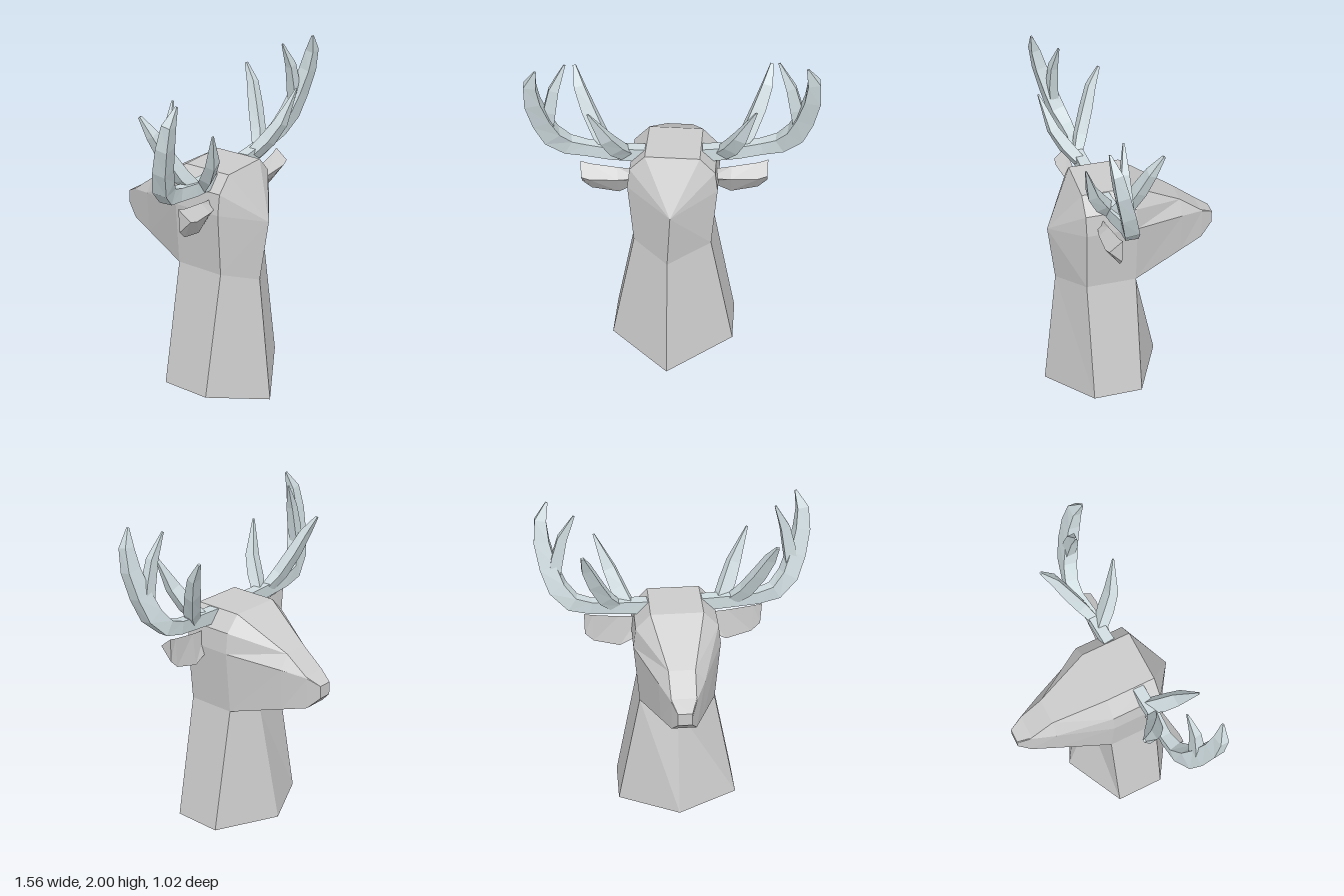
import * as THREE from 'three';

const hide = new THREE.MeshStandardMaterial({ color: 0xcccccc, flatShading: true });
const horn = new THREE.MeshStandardMaterial({ color: 0xcfdce0, flatShading: true });

const centre = (ring) => [0, 1, 2].map((k) => ring.reduce((s, p) => s + p[k], 0) / ring.length);

// Skin closed rings of points, closing both ends with a fan to an apex; faces always point outward.
function loft(name, rings, material, startApex = centre(rings[0]), endApex = centre(rings.at(-1))) {
  const tris = [];
  const add = (a, b, c) => {
    const [A, B, C] = [a, b, c].map((p) => new THREE.Vector3(...p));
    if (B.clone().sub(A).cross(C.clone().sub(A)).length() > 1e-7) tris.push([A, B, C]);
  };
  const n = rings[0].length;
  for (let j = 0; j < n; j++) {
    const k = (j + 1) % n;
    add(startApex, rings[0][k], rings[0][j]);
    add(endApex, rings.at(-1)[j], rings.at(-1)[k]);
    for (let i = 0; i < rings.length - 1; i++) {
      const [r, s] = [rings[i], rings[i + 1]];
      add(r[j], r[k], s[j]);
      add(r[k], s[k], s[j]);
    }
  }
  const volume = tris.reduce((v, [a, b, c]) => v + a.dot(b.clone().cross(c)), 0);
  const points = tris.flatMap((t) => (volume < 0 ? [t[0], t[2], t[1]] : t));
  const geometry = new THREE.BufferGeometry().setFromPoints(points);
  geometry.computeVertexNormals();
  const mesh = new THREE.Mesh(geometry, material);
  mesh.name = name;
  return mesh;
}

// Half section ending in a centre point, mirrored into a full ring
const mirrorRing = (half) => [
  ...half,
  ...half.slice(0, -1).reverse().map(([x, y, z]) => [-x, y, z]),
];

// Four-sided tapering branch along a path of [x, y, z, radius]
function branch(name, path, side) {
  const pts = path.map(([x, y, z]) => new THREE.Vector3(x * side, y, z));
  const rings = pts.map((p, i) => {
    const dir = pts[Math.min(i + 1, pts.length - 1)].clone().sub(pts[Math.max(i - 1, 0)]).normalize();
    const u = new THREE.Vector3(0, 0, 1).cross(dir).normalize();
    const v = dir.clone().cross(u);
    const r = path[i][3];
    return [[1, 0.8], [-1, 0.8], [-1, -0.8], [1, -0.8]].map(([a, b]) =>
      p.clone().addScaledVector(u, a * r).addScaledVector(v, b * r).toArray());
  });
  return loft(name, rings, horn);
}

const antlerPaths = {
  mainBeam: [
    [0.16, 1.37, 0.17, 0.04], [0.35, 1.385, 0.155, 0.037], [0.48, 1.405, 0.135, 0.037],
    [0.58, 1.435, 0.135, 0.044], [0.66, 1.52, 0.16, 0.05], [0.705, 1.64, 0.19, 0.047],
    [0.735, 1.78, 0.225, 0.042], [0.735, 1.9, 0.25, 0.032], [0.695, 1.995, 0.275, 0.006],
  ],
  rearTine: [
    [0.27, 1.38, 0.17, 0.035], [0.32, 1.46, 0.23, 0.04], [0.365, 1.56, 0.285, 0.034],
    [0.445, 1.755, 0.335, 0.005],
  ],
  frontTine: [
    [0.33, 1.38, 0.16, 0.03], [0.4, 1.47, 0.11, 0.038], [0.455, 1.6, 0.05, 0.036],
    [0.495, 1.72, 0.0, 0.028], [0.515, 1.82, -0.06, 0.008],
  ],
  upperTine: [
    [0.68, 1.55, 0.17, 0.03], [0.655, 1.69, 0.18, 0.033], [0.62, 1.82, 0.18, 0.026],
    [0.55, 1.96, 0.165, 0.005],
  ],
};

// Ear sections: x, then y and z of the top, outer and bottom edges
const earSections = [
  [0.2, 1.28, 0.2, 1.23, 0.22, 1.17, 0.17],
  [0.32, 1.295, 0.185, 1.245, 0.24, 1.11, 0.165],
  [0.47, 1.32, 0.17, 1.26, 0.245, 1.15, 0.165],
  [0.52, 1.335, 0.16, 1.275, 0.235, 1.2, 0.165],
];

export function createModel() {
  const model = new THREE.Group();
  model.name = 'stagBust';

  // Neck: six-sided column flaring toward the base
  const throat = [0, 0.77, -0.04];
  const nape = [-0.02, 0.76, 0.42];
  model.add(loft('neck', [
    [[0.36, 0.1, 0.29], [0.36, 0.1, 0], [0, 0.1, -0.18], [-0.36, 0.1, 0], [-0.36, 0.1, 0.29], [-0.02, 0, 0.51]],
    [[0.22, 0.83, 0.29], [0.22, 0.83, 0], throat, [-0.22, 0.83, 0], [-0.22, 0.83, 0.29], nape],
  ], hide, [0, 0.1, 0.29]));

  // Head: sections from the back of the skull to the nose, each top, temple, cheek, jaw, centre
  const skull = (z, bottom) => [[0.15, 1.41, z], [0.235, 1.32, z], [0.25, 1.2, z], [0.22, 0.83, z], bottom];
  model.add(loft('head', [
    skull(0.29, nape),
    skull(0, throat),
    [[0.075, 1.23, -0.3], [0.075, 1.23, -0.3], [0.13, 1.15, -0.3], [0.118, 0.905, -0.3], [0, 0.88, -0.3]],
    [[0.07, 1.13, -0.43], [0.07, 1.13, -0.43], [0.07, 1.12, -0.44], [0.07, 0.94, -0.44], [0, 0.94, -0.44]],
    [[0.04, 1.085, -0.51], [0.04, 1.085, -0.51], [0.04, 1.06, -0.51], [0.04, 1.01, -0.51], [0, 1.01, -0.51]],
  ].map(mirrorRing), hide, [0, 1.12, 0.46]));

  // Ears and antlers; the right-hand set is swung slightly back and down
  for (const side of [1, -1]) {
    const prefix = side > 0 ? 'left' : 'right';
    const set = new THREE.Group();
    set.name = prefix + 'EarAndAntler';
    const rings = earSections.map(([x, ...s]) =>
      [0, 2, 4].map((i) => [x * side, s[i], s[i + 1]]));
    set.add(loft(prefix + 'Ear', rings, hide));
    for (const [name, path] of Object.entries(antlerPaths)) set.add(branch(name, path, side));

    const pivot = new THREE.Vector3(0, 1.38, 0.16);
    if (side < 0) set.rotation.set(0, 0.12, 0.04);
    set.position.copy(pivot).sub(pivot.clone().applyEuler(set.rotation));
    model.add(set);
  }
  return model;
}
